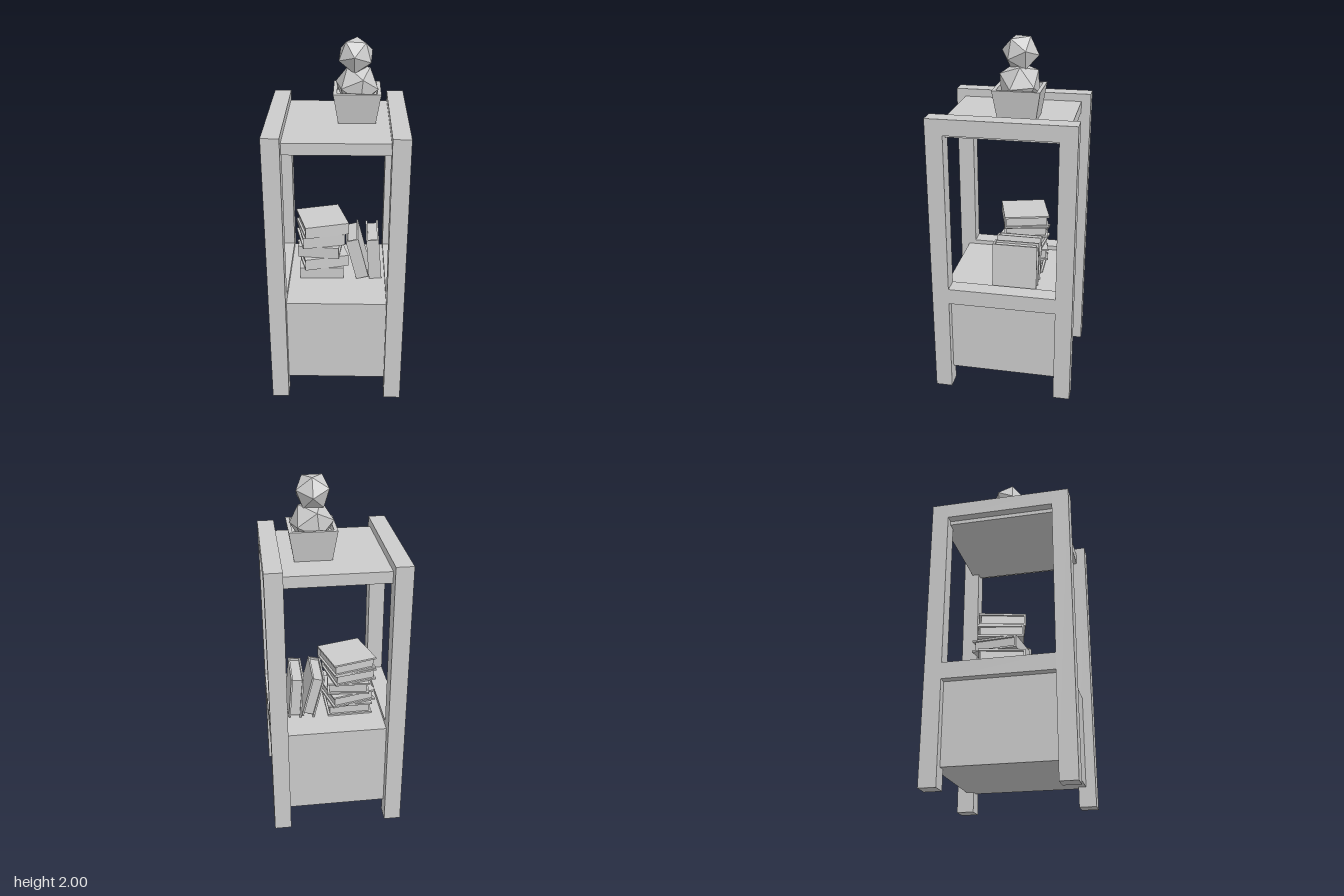
import * as THREE from 'three';

const grey = new THREE.MeshStandardMaterial({ color: 0xcccccc, flatShading: true });

function add(parent, name, geometry, x, y, z) {
  const mesh = new THREE.Mesh(geometry, grey);
  mesh.name = name;
  mesh.position.set(x, y, z);
  parent.add(mesh);
  return mesh;
}

const box = (parent, name, w, h, d, x, y, z) =>
  add(parent, name, new THREE.BoxGeometry(w, h, d), x, y, z);

// Book lying flat: spine towards +z, pages set back on the other three sides
function makeBook(name, w, t, d) {
  const book = new THREE.Group();
  book.name = name;
  const c = 0.01;
  for (const s of [-1, 1]) box(book, 'cover', w, c, d, 0, s * (t - c) / 2, 0);
  box(book, 'spine', w, t - 2 * c, c, 0, 0, (d - c) / 2);
  box(book, 'pages', w - 0.024, t - 2 * c, d - c - 0.012, 0, 0, -(c - 0.012) / 2);
  return book;
}

export function createModel() {
  const model = new THREE.Group();
  model.name = 'shelfStand';

  // Frame: four legs joined by side rails
  for (const sx of [-1, 1]) {
    for (const sz of [-1, 1]) box(model, 'leg', 0.095, 1.62, 0.094, sx * 0.3255, 0.81, sz * 0.346);
    box(model, 'topRail', 0.095, 0.086, 0.6, sx * 0.3255, 1.577, 0);
    box(model, 'middleRail', 0.095, 0.09, 0.6, sx * 0.3255, 0.6, 0);
  }

  // Top board and lower cabinet, both reaching under the side rails
  box(model, 'topBoard', 0.65, 0.064, 0.68, 0, 1.544, 0);
  box(model, 'cabinet', 0.65, 0.511, 0.68, 0, 0.3645, 0);

  // Stack of books: [x, turn, width, depth]
  const stack = new THREE.Group();
  stack.name = 'bookStack';
  model.add(stack);
  [
    [-0.093, 0.02, 0.255, 0.25],
    [-0.09, 0.25, 0.257, 0.255],
    [-0.097, -0.1, 0.237, 0.25],
    [-0.102, 0.22, 0.245, 0.25],
    [-0.09, 0.27, 0.255, 0.255],
  ].forEach(([x, turn, w, d], i) => {
    const book = makeBook('lyingBook', w, 0.069, d);
    book.position.set(x, 0.655 + i * 0.07, -0.05);
    book.rotation.y = turn;
    stack.add(book);
  });

  // Two books leaning towards the stack: [x, lean]
  for (const [x, lean] of [[0.116, 0.25], [0.213, 0.08]]) {
    const book = makeBook('leaningBook', 0.255, 0.073, 0.25);
    book.position.set(x, 0.752, -0.05);
    book.rotation.z = Math.PI / 2 + lean;
    model.add(book);
  }

  // Square tapered pot with a sunken soil surface
  const plant = new THREE.Group();
  plant.name = 'pottedCactus';
  plant.position.set(0.104, 1.576, -0.052);
  model.add(plant);
  const profile = [[0, 0], [0.1, 0], [0.126, 0.166], [0.106, 0.166], [0.106, 0.123], [0, 0.123]]
    .map(([half, y]) => new THREE.Vector2(half * Math.SQRT2, y));
  add(plant, 'pot', new THREE.LatheGeometry(profile, 4, Math.PI / 4), 0, 0, 0);

  // Cactus: two faceted balls
  const lower = add(plant, 'lowerCactusBall', new THREE.IcosahedronGeometry(0.119, 0), -0.002, 0.181, 0);
  lower.rotation.set(0.08, 0.26, -0.1);
  const upper = add(plant, 'upperCactusBall', new THREE.IcosahedronGeometry(0.1, 0), -0.009, 0.34, -0.002);
  upper.rotation.set(0.45, -0.08, 0);

  return model;
}
